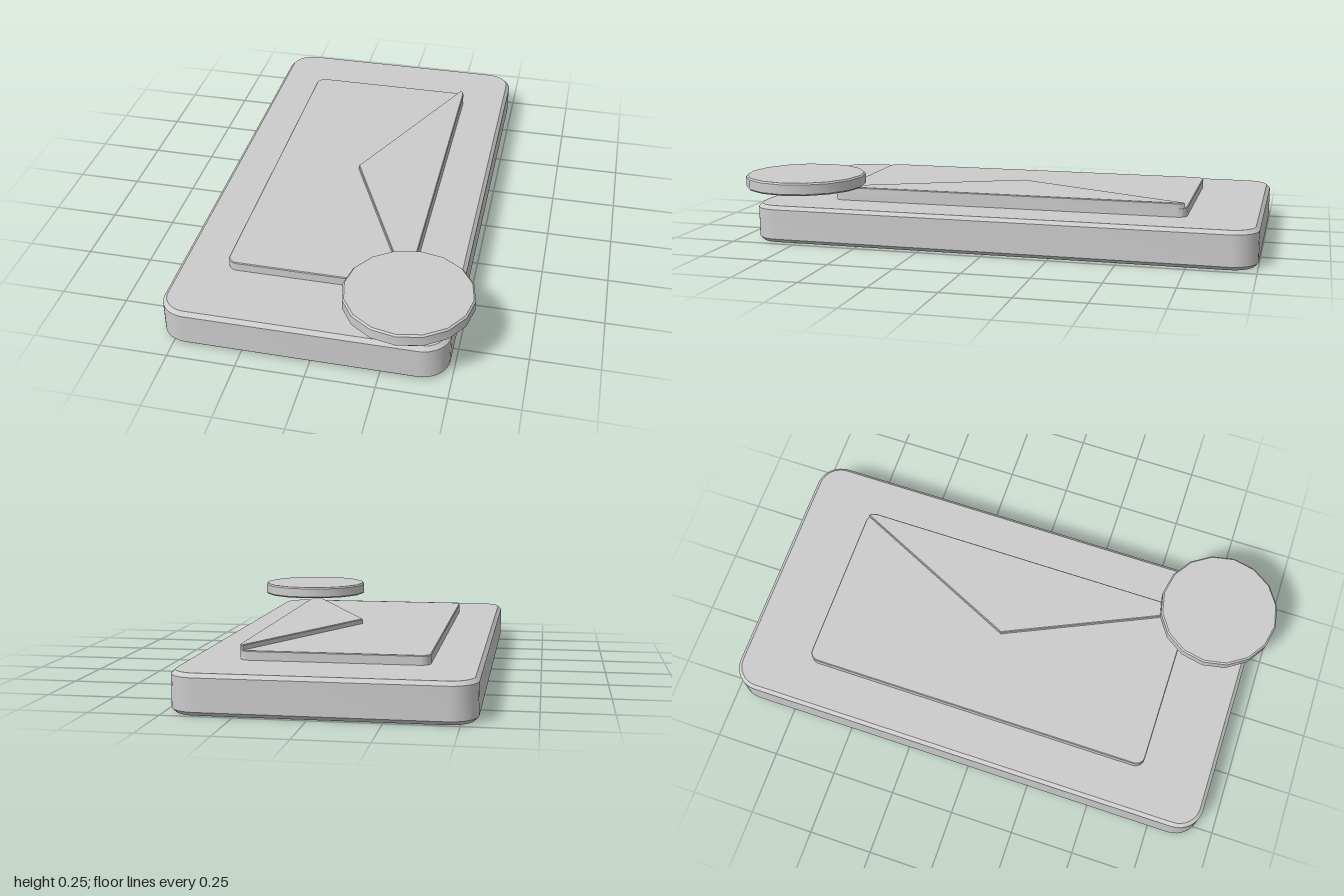
import * as THREE from 'three';
import { toCreasedNormals } from 'three/addons/utils/BufferGeometryUtils.js';

const grey = new THREE.MeshStandardMaterial({ color: 0xcccccc });

// Outline drawn as (x, -z), extruded upwards from y0 to y1 with chamfered rims
function slab(name, shape, y0, y1, bevel, curveSegments) {
  const geometry = new THREE.ExtrudeGeometry(shape, {
    depth: y1 - y0 - 2 * bevel,
    bevelEnabled: true,
    bevelThickness: bevel,
    bevelSize: bevel,
    bevelOffset: -bevel,
    bevelSegments: 1,
    curveSegments,
  });
  geometry.translate(0, 0, y0 + bevel);
  geometry.rotateX(-Math.PI / 2);
  const mesh = new THREE.Mesh(toCreasedNormals(geometry, THREE.MathUtils.degToRad(32)), grey);
  mesh.name = name;
  return mesh;
}

// Rounded rectangle between two x and two z limits
function roundedRect(x0, x1, z0, z1, r) {
  const s = new THREE.Shape();
  const a = -z1, b = -z0, q = Math.PI / 2;
  s.absarc(x1 - r, a + r, r, -q, 0);
  s.absarc(x1 - r, b - r, r, 0, q);
  s.absarc(x0 + r, b - r, r, q, 2 * q);
  s.absarc(x0 + r, a + r, r, 2 * q, 3 * q);
  s.closePath();
  return s;
}

// Triangular flap, its outer corners following the envelope's rounding
function flapShape() {
  const s = new THREE.Shape();
  s.moveTo(-0.035, 0.035);
  s.lineTo(0.283, -0.652);
  s.lineTo(0.293, -0.641);
  s.lineTo(0.298, -0.625);
  s.lineTo(0.298, 0.695);
  s.lineTo(0.293, 0.711);
  s.lineTo(0.283, 0.722);
  s.closePath();
  return s;
}

// Sixteen-sided disc outline
function discShape(x, z, r, sides) {
  const points = [];
  for (let i = 0; i < sides; i++) {
    const t = (i / sides) * Math.PI * 2;
    points.push(new THREE.Vector2(x + r * Math.cos(t), -z + r * Math.sin(t)));
  }
  return new THREE.Shape(points);
}

export function createModel() {
  const group = new THREE.Group();
  group.name = 'messageIcon';
  group.add(
    slab('basePlate', roundedRect(-0.555, 0.483, -1, 0.932, 0.1), 0, 0.144, 0.014, 4),
    slab('envelope', roundedRect(-0.376, 0.298, -0.73, 0.66, 0.037), 0.13, 0.178, 0.003, 4),
    slab('envelopeFlap', flapShape(), 0.17, 0.197, 0.003, 1),
    slab('notificationBadge', discShape(0.318, 0.767, 0.233, 16), 0.2, 0.249, 0.006, 1),
  );
  return group;
}
